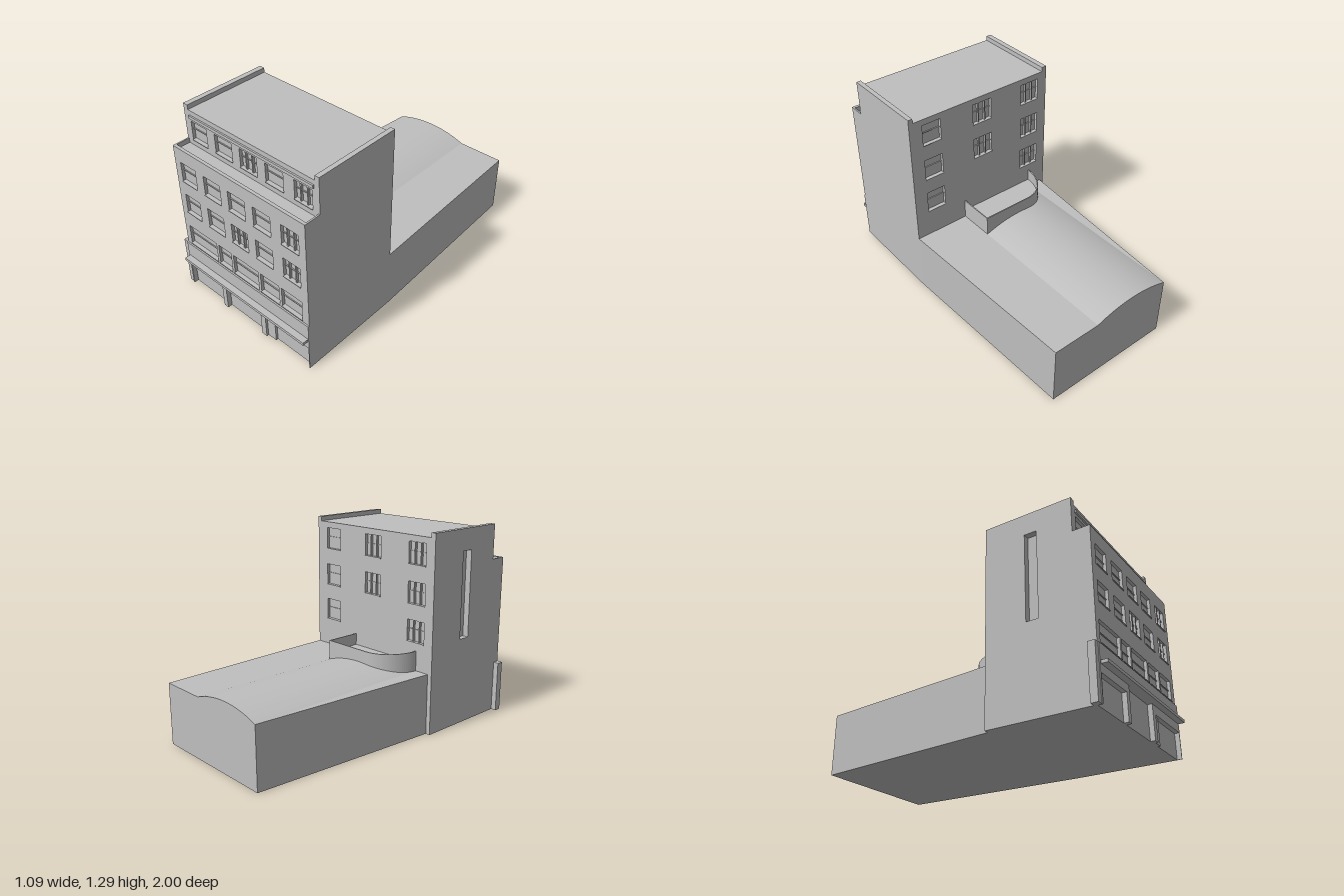
import * as THREE from 'three';

export function createModel() {
  const model = new THREE.Group();
  model.name = 'building';
  const grey = new THREE.MeshStandardMaterial({ color: 0xbfbfbf });
  grey.name = 'plain grey';

  const add = (name, geometry, parent = model) => {
    const mesh = new THREE.Mesh(geometry, grey);
    mesh.name = name;
    parent.add(mesh);
    return mesh;
  };
  // box given by its limits
  const box = (name, x0, x1, y0, y1, z0, z1, parent) => {
    const mesh = add(name, new THREE.BoxGeometry(x1 - x0, y1 - y0, z1 - z0), parent);
    mesh.position.set((x0 + x1) / 2, (y0 + y1) / 2, (z0 + z1) / 2);
    return mesh;
  };
  const polygon = (points) => new THREE.Shape(points.map(([x, y]) => new THREE.Vector2(x, y)));
  const rect = (x0, x1, y0, y1) => polygon([[x0, y0], [x1, y0], [x1, y1], [x0, y1]]);
  const extrude = (shape, depth, curveSegments = 16) =>
    new THREE.ExtrudeGeometry(shape, { depth, bevelEnabled: false, curveSegments });

  // wall panel with recessed windows; side is +1 for the front, -1 for the back
  const PANEL = 0.02;
  const windowWall = (name, [x0, x1, y0, y1], face, side, windows) => {
    const group = new THREE.Group();
    group.name = name;
    model.add(group);
    const shape = rect(x0, x1, y0, y1);
    windows.forEach((w) => shape.holes.push(rect(w.x0, w.x1, w.y0, w.y1)));
    add('wall', extrude(shape, PANEL), group).position.z = side > 0 ? face - PANEL : face;
    // box between two distances measured outward from the wall face
    const bar = (part, a, b, c, d, near, far) => {
      const za = face + side * near, zb = face + side * far;
      box(part, a, b, c, d, Math.min(za, zb), Math.max(za, zb), group);
    };
    windows.forEach((w) => {
      const my = w.y0 + (w.y1 - w.y0) * 0.55, mx = (w.x0 + w.x1) / 2;
      bar('windowSill', w.x0, w.x1, w.y0 - 0.005, w.y0, -0.01, 0.006);
      bar('windowRail', w.x0, w.x1, my - 0.003, my + 0.003, -PANEL, -0.014);
      if (w.casement) {
        for (const x of [mx - 0.025, mx + 0.025]) {
          bar('windowMullion', x - 0.004, x + 0.004, w.y0, w.y1, -PANEL, -0.006);
        }
      }
    });
  };

  // tower core and the rear annex with its tapering plan
  box('towerCore', -0.47, 0.54, 0, 1.03, 0.28, 0.93);
  box('topStoreyCore', -0.47, 0.54, 1.03, 1.26, 0.28, 0.82);
  const annex = add('annex', extrude(polygon([[-0.48, -0.26], [0.54, -0.26], [0.49, 1], [-0.38, 1]]), 0.4));
  annex.rotation.x = -Math.PI / 2;

  // side wall with a tall narrow slot
  const sideShape = polygon([[0.28, 0], [0.93, 0], [0.93, 1.03], [0.82, 1.03], [0.82, 1.26], [0.28, 1.26]]);
  sideShape.holes.push(rect(0.53, 0.61, 0.58, 1.15));
  const sideWall = add('slottedSideWall', extrude(sideShape, 0.04));
  sideWall.rotation.y = -Math.PI / 2;
  sideWall.position.x = -0.47;

  // front windows
  const columns = [[-0.46, -0.33], [-0.26, -0.12], [-0.055, 0.08], [0.145, 0.28], [0.36, 0.49]];
  const row = (y0, y1, casements, cols = columns) =>
    cols.map(([x0, x1], i) => ({ x0, x1, y0, y1, casement: casements.includes(i) }));
  const lowColumns = [[-0.47, -0.22], [-0.2, -0.09], [-0.07, 0.14], [0.16, 0.31], [0.33, 0.49]];
  windowWall('frontWall', [-0.51, 0.54, 0.34, 1.06], 0.95, 1, [
    ...row(0.355, 0.49, [], lowColumns),
    ...row(0.605, 0.735, [2, 4]),
    ...row(0.835, 0.965, [4]),
  ]);
  windowWall('topStoreyWall', [-0.51, 0.54, 1.03, 1.26], 0.84, 1, row(1.07, 1.19, [2, 4]));

  // back windows
  const backWindows = [];
  [0.585, 0.83, 1.08].forEach((y, level) => {
    [[-0.44, -0.3], [-0.06, 0.08], [0.32, 0.45]].forEach(([x0, x1], i) => {
      if (level === 0 && i === 1) return;
      backWindows.push({ x0, x1, y0: y, y1: y + 0.14, casement: i < 2 });
    });
  });
  windowWall('backWall', [-0.51, 0.54, 0, 1.26], 0.26, -1, backWindows);

  // roof parapets, terrace ends and top strip
  box('roofParapet', -0.51, -0.475, 1.26, 1.29, 0.26, 0.84);
  box('roofParapet', 0.51, 0.54, 1.26, 1.29, 0.26, 0.84);
  box('terraceParapet', -0.51, -0.5, 1.03, 1.06, 0.84, 0.93);
  box('terraceParapet', 0.53, 0.54, 1.03, 1.06, 0.84, 0.93);
  box('topStrip', -0.465, 0.505, 1.21, 1.23, 0.84, 0.85);

  // shop front: fascia, piers, door heads and canopy
  box('fascia', -0.51, 0.54, 0.22, 0.34, 0.93, 0.96);
  box('doorHead', -0.5, -0.205, 0.17, 0.22, 0.93, 0.96);
  box('doorHead', 0.18, 0.535, 0.165, 0.22, 0.93, 0.96);
  for (const [x0, x1] of [[-0.51, -0.5], [-0.205, -0.17], [0.14, 0.18], [0.535, 0.54]]) {
    box('shopPier', x0, x1, 0, 0.22, 0.93, 0.96);
  }
  box('shopPanel', 0.18, 0.245, 0, 0.165, 0.93, 0.945);
  box('canopy', -0.5, 0.535, 0.22, 0.24, 0.96, 1.0);
  box('cornerPier', -0.545, -0.505, 0, 0.34, 0.91, 0.955);

  // shallow vault along the annex roof
  const half = 0.275, rise = 0.05, radius = (half * half + rise * rise) / (2 * rise);
  const angle = Math.asin(half / radius);
  const vaultShape = new THREE.Shape();
  vaultShape.absarc(-0.105, 0.4 + rise - radius, radius, Math.PI / 2 - angle, Math.PI / 2 + angle, false);
  add('roofVault', extrude(vaultShape, 1.26, 20)).position.z = -1;

  // rounded balcony: thin wall and floor, plan drawn with y as -z
  const plan = (inset) => {
    const s = new THREE.Shape();
    s.moveTo(0.17 - inset, -0.26);
    s.lineTo(0.17 - inset, -0.02 - inset);
    s.lineTo(-0.17, -0.02 - inset);
    s.absellipse(-0.17, -0.26, 0.21 - inset, 0.24 - inset, Math.PI / 2, Math.PI, false);
    return s;
  };
  const outline = plan(0).getPoints(12);
  const inner = plan(0.007).getPoints(12).reverse();
  const wallShape = new THREE.Shape([...outline, ...inner]);
  const balconyWall = add('balconyWall', extrude(wallShape, 0.13));
  balconyWall.rotation.x = -Math.PI / 2;
  balconyWall.position.y = 0.4;
  const balconyFloor = add('balconyFloor', extrude(plan(0.004), 0.053, 12));
  balconyFloor.rotation.x = -Math.PI / 2;
  balconyFloor.position.y = 0.4;

  return model;
}
